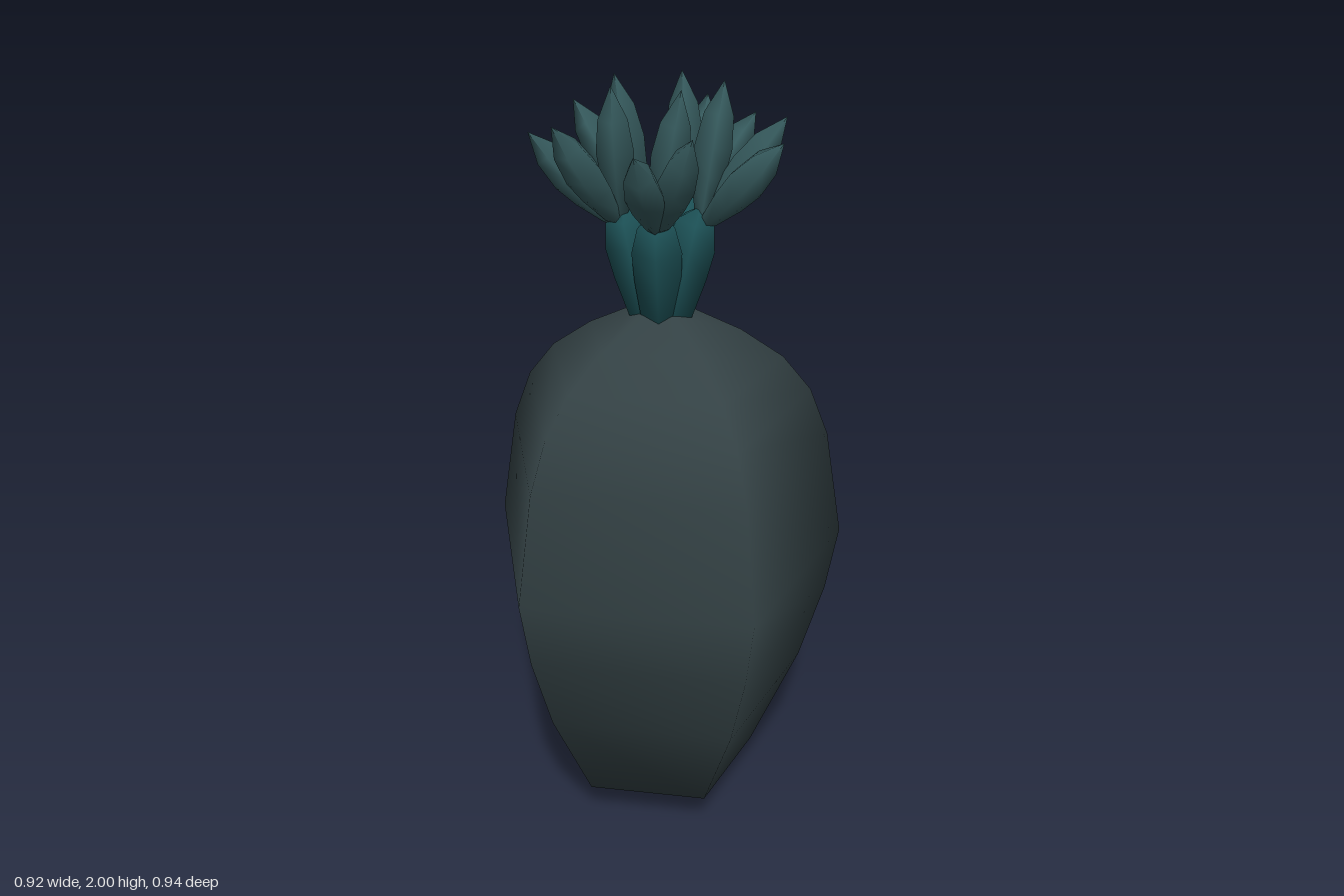
import * as THREE from 'three';

const SIDES = 5;
const rad = THREE.MathUtils.degToRad;

// Five-sided smooth spindle from [radius, height] pairs
function spindle(profile, startDeg = 0) {
  const pts = profile.map(([r, y]) => new THREE.Vector2(r, y));
  return new THREE.LatheGeometry(pts, SIDES, rad(startDeg));
}

// Point given by distance from the axis, angle in the ground plane (x towards z) and height
function polar(r, deg, y) {
  return new THREE.Vector3(r * Math.cos(rad(deg)), y, r * Math.sin(rad(deg)));
}

// Stretch a unit-height geometry from one point to another
function place(name, geometry, material, from, to) {
  const mesh = new THREE.Mesh(geometry, material);
  const axis = to.clone().sub(from);
  mesh.name = name;
  mesh.position.copy(from);
  mesh.scale.y = axis.length();
  mesh.quaternion.setFromUnitVectors(new THREE.Vector3(0, 1, 0), axis.normalize());
  return mesh;
}

export function createModel() {
  const model = new THREE.Group();
  model.name = 'succulentPlant';

  const bodyMat = new THREE.MeshStandardMaterial({ color: 0x344245 });
  const stemMat = new THREE.MeshStandardMaterial({ color: 0x1c5055 });
  const leafMat = new THREE.MeshStandardMaterial({ color: 0x35595c });

  // Everything grows around a slightly off-centre axis
  const plant = new THREE.Group();
  plant.name = 'plant';
  plant.position.set(0.03, 0, 0.015);
  model.add(plant);

  // Swollen five-sided body, pointed below
  const body = new THREE.Mesh(spindle([
    [0, 0], [0.268, 0.11], [0.4, 0.39], [0.465, 0.6], [0.497, 0.78],
    [0.447, 1.07], [0.395, 1.2], [0.318, 1.295], [0.205, 1.375], [0.075, 1.44], [0, 1.45],
  ], 120.2), bodyMat);
  body.name = 'body';
  plant.add(body);

  const stemGeo = spindle([[0, 0], [0.045, 0.15], [0.06, 0.5], [0.064, 0.72], [0.048, 0.9], [0, 1]], 18);
  const leafGeo = spindle([[0, 0], [0.022, 0.12], [0.04, 0.36], [0.047, 0.56], [0.037, 0.78], [0, 1]], 18);

  // Leaf tips of one cluster: distance, angle, height
  const tips = [
    ['innerLeaf', 0.145, -20, 2.0],
    ['shortLeaf', 0.294, -16, 1.92],
    ['longLeaf', 0.318, 8.5, 1.885],
  ];

  // Five clusters, each a stout stem carrying three leaves
  for (let i = 0; i < 5; i++) {
    const cluster = new THREE.Group();
    cluster.name = `leafCluster${i + 1}`;
    cluster.rotation.y = -rad(72 * i);
    cluster.add(place('stem', stemGeo, stemMat, polar(0.02, 5, 1.37), polar(0.1, 5, 1.71)));
    const base = polar(0.1, 3, 1.655);
    for (const [name, r, deg, y] of tips) {
      cluster.add(place(name, leafGeo, leafMat, base, polar(r, deg, y)));
    }
    plant.add(cluster);
  }
  return model;
}
